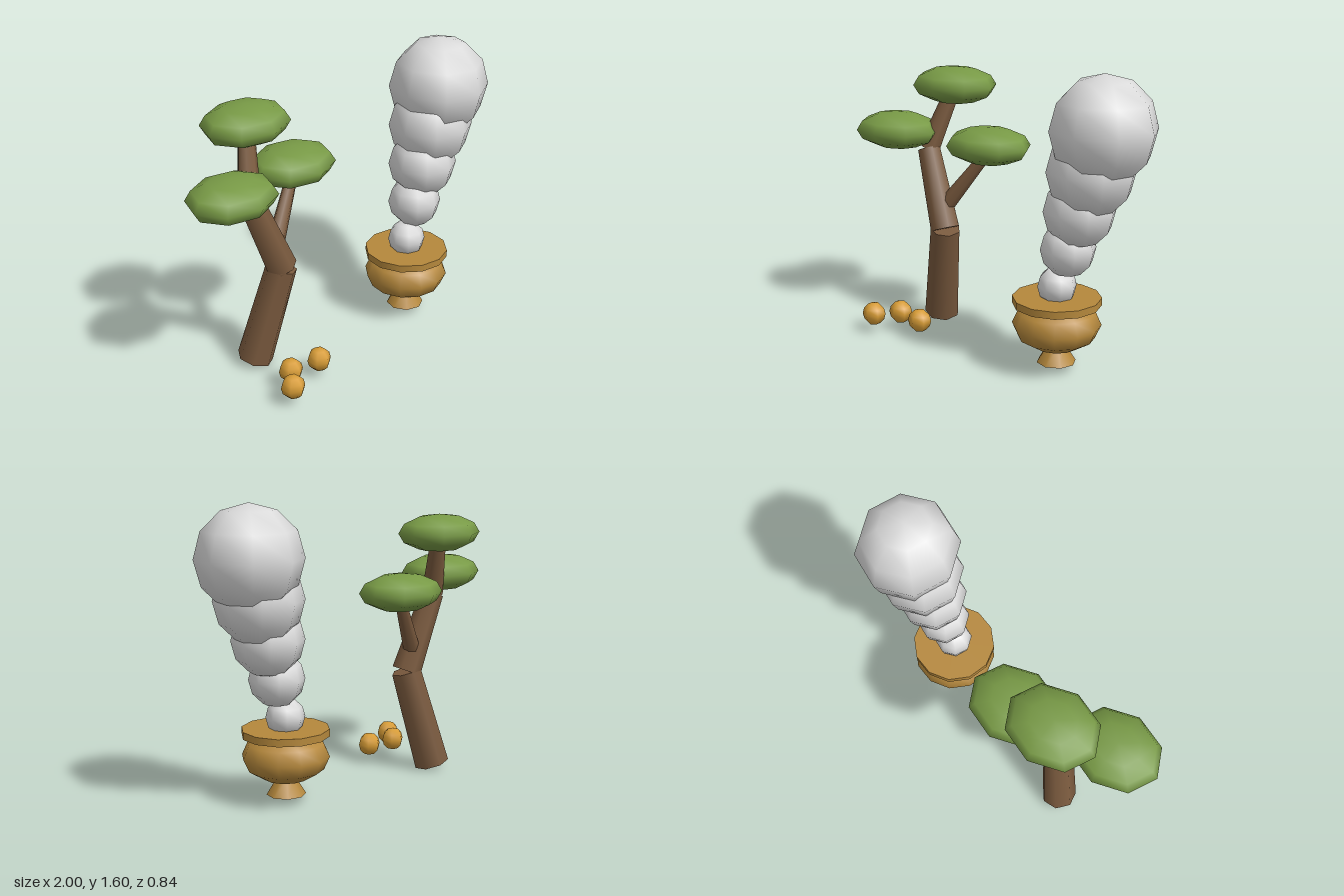
import * as THREE from 'three';

const mat = (name, color) => {
  const m = new THREE.MeshStandardMaterial({ color });
  m.name = name;
  return m;
};

export function createModel() {
  const root = new THREE.Group();
  const bark = mat('bark brown', 0x7a5a3e);
  const leaf = mat('leaf green', 0x789a46);
  const brass = mat('brass', 0xb5883c);
  const amber = mat('amber', 0xd79c36);
  const smokeGrey = mat('smoke grey', 0xdadada);

  const group = (name) => {
    const g = new THREE.Group();
    g.name = name;
    root.add(g);
    return g;
  };
  const add = (parent, name, geometry, material, [x, y, z]) => {
    const m = new THREE.Mesh(geometry, material);
    m.name = name;
    m.position.set(x, y, z);
    parent.add(m);
    return m;
  };

  // Tapered limb between two points
  const limb = (parent, name, from, to, r0, r1, sides = 7) => {
    const a = new THREE.Vector3(...from), b = new THREE.Vector3(...to);
    const dir = b.clone().sub(a);
    const m = add(parent, name, new THREE.CylinderGeometry(r1, r0, dir.length(), sides), bark,
      a.clone().add(b).multiplyScalar(0.5).toArray());
    m.quaternion.setFromUnitVectors(new THREE.Vector3(0, 1, 0), dir.normalize());
  };

  // Tree: bent trunk, two branches, three flat crowns
  const tree = group('tree');
  const bend = [-0.405, 0.575, -0.035], fork = [-0.565, 1.01, -0.1];
  limb(tree, 'lowerTrunk', [-0.52, 0.022, -0.14], bend, 0.1, 0.085);
  limb(tree, 'upperTrunk', bend, fork, 0.085, 0.066);
  limb(tree, 'topBranch', fork, [-0.46, 1.37, -0.21], 0.062, 0.042);
  limb(tree, 'sideBranch', [-0.44, 0.68, -0.055], [-0.175, 1.04, -0.145], 0.05, 0.03);
  const crowns = [[-0.745, 1.107, -0.04], [-0.463, 1.37, -0.21], [-0.185, 1.066, -0.147]];
  for (const p of crowns) {
    add(tree, 'crown', new THREE.SphereGeometry(1, 8, 6), leaf, p).scale.set(0.255, 0.104, 0.212);
  }

  // Resin lumps on the ground
  const resin = group('resinLumps');
  for (const p of [[-0.68, 0.1, 0.285], [-0.575, 0.1, 0.175], [-0.4, 0.1, 0.22]]) {
    add(resin, 'resinLump', new THREE.SphereGeometry(0.066, 6, 6), amber, p).rotation.y = Math.PI / 2;
  }

  // Burner: flared foot, squashed bowl, wide rim
  const burner = group('burner');
  const cx = 0.46, cz = 0.14;
  add(burner, 'foot', new THREE.CylinderGeometry(0.05, 0.105, 0.09, 8), brass, [cx, 0.083, cz]);
  add(burner, 'bowl', new THREE.SphereGeometry(0.235, 12, 6), brass, [cx, 0.25, cz]).scale.y = 0.6;
  add(burner, 'rim', new THREE.CylinderGeometry(0.235, 0.235, 0.04, 12), brass, [cx, 0.38, cz]);

  // Smoke: puffs growing as they drift up and sideways
  const smoke = group('smoke');
  for (let i = 0; i < 5; i++) {
    add(smoke, 'puff', new THREE.SphereGeometry(0.105 + 0.0435 * i, 8, 6), smokeGrey,
      [cx + 0.065 * i, 0.46 + 0.215 * i, cz]);
  }
  return root;
}
